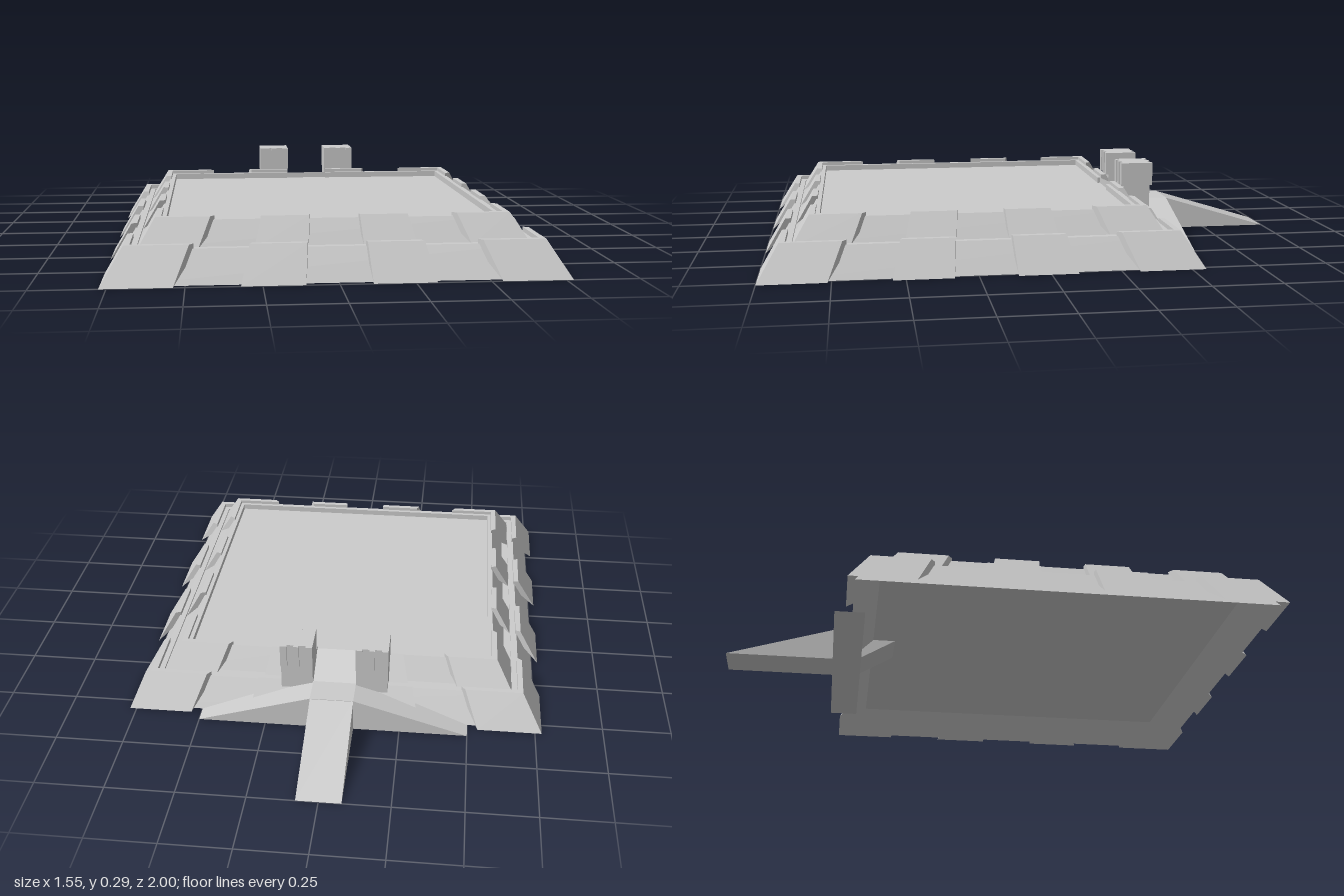
import * as THREE from 'three';

const material = new THREE.MeshStandardMaterial({ color: 0xcccccc, flatShading: true });
const CENTRE_Z = 0.225;
const JOINTS = [-1, -0.695, -0.414, -0.142, 0.142, 0.414, 0.695, 1];

function add(parent, name, geometry, x = 0, y = 0, z = 0) {
  const mesh = new THREE.Mesh(geometry, material);
  mesh.name = name;
  mesh.position.set(x, y, z);
  parent.add(mesh);
  return mesh;
}

// A wall piece: a [radius, height] section swept from f0 to f1, its ends aimed at the centre
function wallPiece(profile, f0, f1) {
  const n = profile.length;
  const pos = [];
  const idx = [];
  for (const f of [f0, f1]) for (const [r, y] of profile) pos.push(f * r, y, r);
  for (let i = 0; i < n; i++) {
    const j = (i + 1) % n;
    idx.push(i, n + i, n + j, i, n + j, j);
  }
  for (let i = 1; i < n - 1; i++) {
    idx.push(0, i, i + 1, n, n + i + 1, n + i);
  }
  const g = new THREE.BufferGeometry();
  g.setAttribute('position', new THREE.Float32BufferAttribute(pos, 3));
  g.setIndex(idx);
  const flat = g.toNonIndexed();
  flat.computeVertexNormals();
  return flat;
}

// One course of stones: a low wall with four raised stones on each side
function course(name, tall, low, gapAtBack) {
  const group = new THREE.Group();
  group.name = name;
  for (let side = 0; side < 4; side++) {
    const wall = new THREE.Group();
    wall.name = name + 'Side';
    wall.rotation.y = side * Math.PI / 2;
    const spans = gapAtBack && side === 2 ? [[-1, -0.142], [0.142, 1]] : [[-1, 1]];
    for (const [a, b] of spans) add(wall, 'lowWall', wallPiece(low, a, b));
    for (let i = 0; i < 7; i += 2) {
      add(wall, 'raisedStone', wallPiece(tall, JOINTS[i], JOINTS[i + 1]));
    }
    group.add(wall);
  }
  group.position.z = CENTRE_Z;
  return group;
}

function extrude(points, depth) {
  const shape = new THREE.Shape(points.map(([x, y]) => new THREE.Vector2(x, y)));
  return new THREE.ExtrudeGeometry(shape, { depth, bevelEnabled: false });
}

export function createModel() {
  const model = new THREE.Group();
  model.name = 'stonePlatform';

  // Two stepped courses of sloping stones
  model.add(course('lowerCourse',
    [[0.775, 0], [0.70, 0.125], [0.68, 0.125], [0.68, 0.09]],
    [[0.75, 0], [0.685, 0.109], [0.66, 0.109], [0.66, 0.09]], false));
  model.add(course('upperCourse',
    [[0.66, 0.10], [0.60, 0.20], [0.58, 0.20], [0.58, 0.16]],
    [[0.635, 0.10], [0.585, 0.187], [0.565, 0.187], [0.565, 0.16]], true));

  // Ledge under the upper course, and the floor
  add(model, 'ledge', new THREE.BoxGeometry(1.36, 0.012, 1.36), 0, 0.096, CENTRE_Z);
  add(model, 'floor', new THREE.BoxGeometry(1.16, 0.065, 1.16), 0, 0.1325, CENTRE_Z);

  // Rear ramp, running up through the gateway to the floor
  const ramp = extrude([[-1, 0], [-0.5, 0], [-0.35, 0.09], [-0.35, 0.187],
    [-0.48, 0.127], [-0.587, 0.126]], 0.16);
  ramp.rotateY(-Math.PI / 2);
  add(model, 'rearRamp', ramp, 0.08);

  // Ramps falling away to both sides of the landing
  add(model, 'sideRamps',
    extrude([[-0.5, 0], [0.5, 0], [0.08, 0.127], [-0.08, 0.127]], 0.11), 0, 0, -0.59);

  // Gate posts with upright grooves front and back
  const edge = [];
  for (const x of [-0.035, 0.01]) {
    edge.push([x, 0.0625], [x, 0.052], [x + 0.025, 0.052], [x + 0.025, 0.0625]);
  }
  const outline = [[-0.06, 0.0625], ...edge, [0.06, 0.0625],
    [0.06, -0.0625], ...edge.map(([x, y]) => [x, -y]).reverse(), [-0.06, -0.0625]];
  for (const s of [-1, 1]) {
    const post = new THREE.Group();
    post.name = 'gatePost';
    post.position.set(s * 0.14, 0, -0.4375);
    const cap = extrude(outline, 0.09);
    cap.rotateX(-Math.PI / 2);
    add(post, 'groovedTop', cap, 0, 0.20, 0);
    add(post, 'postBase', new THREE.BoxGeometry(0.118, 0.11, 0.104), 0, 0.147, 0);
    model.add(post);
  }
  return model;
}
